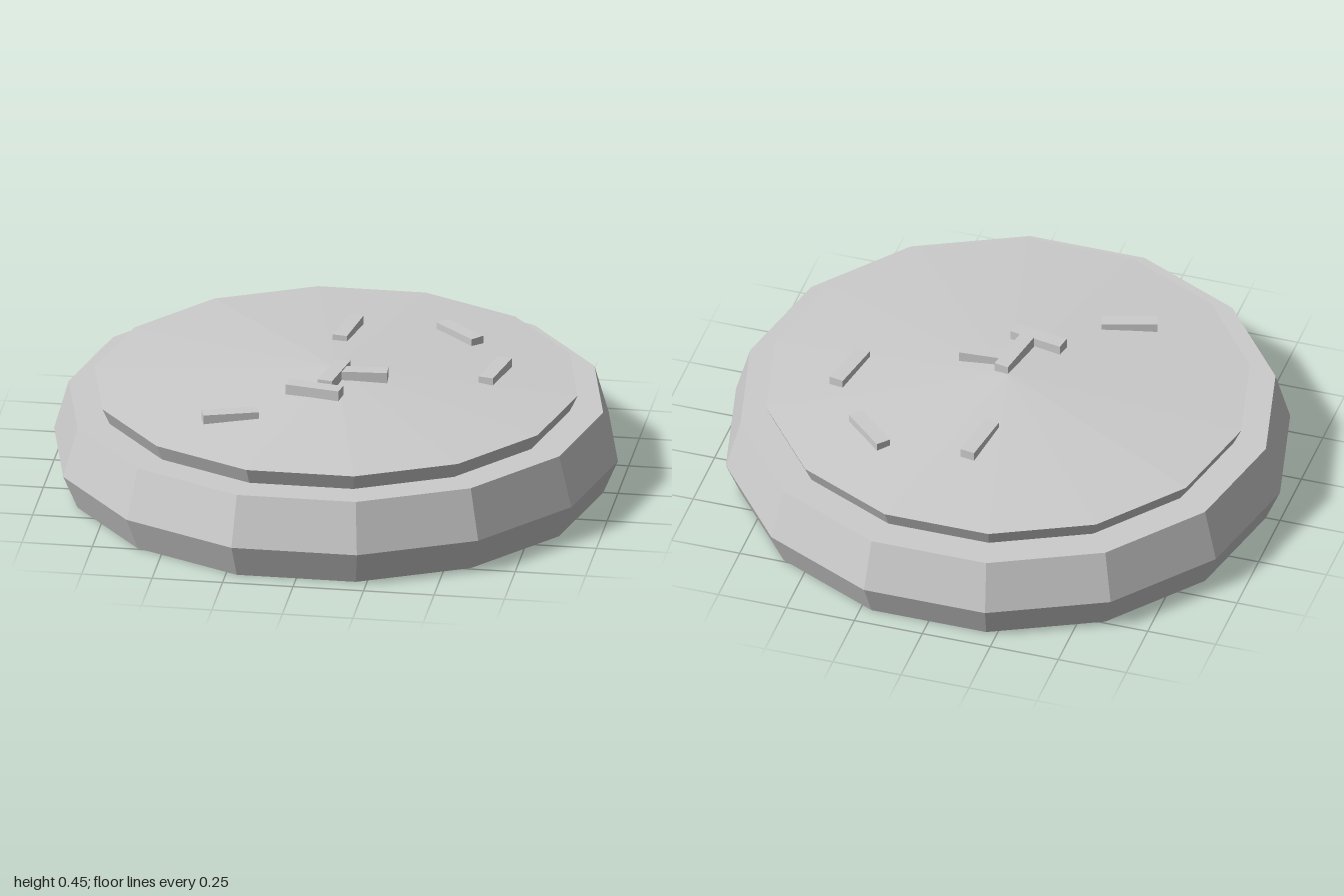
import * as THREE from 'three';

const SIDES = 14;

// Faceted solid of revolution with a corner on the x axis
function facetedLathe(profile) {
  const points = profile.map(([r, y]) => new THREE.Vector2(r, y));
  const geometry = new THREE.LatheGeometry(points, SIDES, Math.PI / 2).toNonIndexed();
  geometry.computeVertexNormals();
  return geometry;
}

export function createModel() {
  const model = new THREE.Group();
  model.name = 'toppedDisc';
  const grey = new THREE.MeshStandardMaterial({ color: 0xcccccc });
  grey.name = 'light grey';

  const add = (name, geometry) => {
    const mesh = new THREE.Mesh(geometry, grey);
    mesh.name = name;
    model.add(mesh);
    return mesh;
  };

  // Thick base, widest just below the middle
  add('base', facetedLathe([[0, 0], [0.948, 0], [1, 0.123], [0.948, 0.304], [0, 0.304]]));

  // Undercut topping with a shallow domed cone
  add('topping', facetedLathe([[0, 0.3], [0.83, 0.304], [0.857, 0.363], [0, 0.418]]));

  // Sprinkles: centre x, centre z, long-axis direction x and z, top height
  const sprinkles = [
    [-0.014, -0.375, 0.03, -0.195, 0.42],
    [0.375, -0.427, 0.145, 0.133, 0.407],
    [0.55, -0.102, 0.04, -0.195, 0.409],
    [0.008, 0.099, 0.036, -0.195, 0.448],
    [0.095, 0.068, 0.2, -0.014, 0.443],
    [-0.043, 0.221, 0.195, 0.035, 0.438],
    [-0.31, 0.432, 0.185, -0.058, 0.411],
  ];
  const height = 0.04;
  const bar = new THREE.BoxGeometry(0.196, height, 0.053);
  sprinkles.forEach(([x, z, dx, dz, top], i) => {
    const mesh = add(`sprinkle${i + 1}`, bar);
    mesh.position.set(x, top - height / 2, z);
    mesh.rotation.y = Math.atan2(-dz, dx);
  });

  return model;
}
